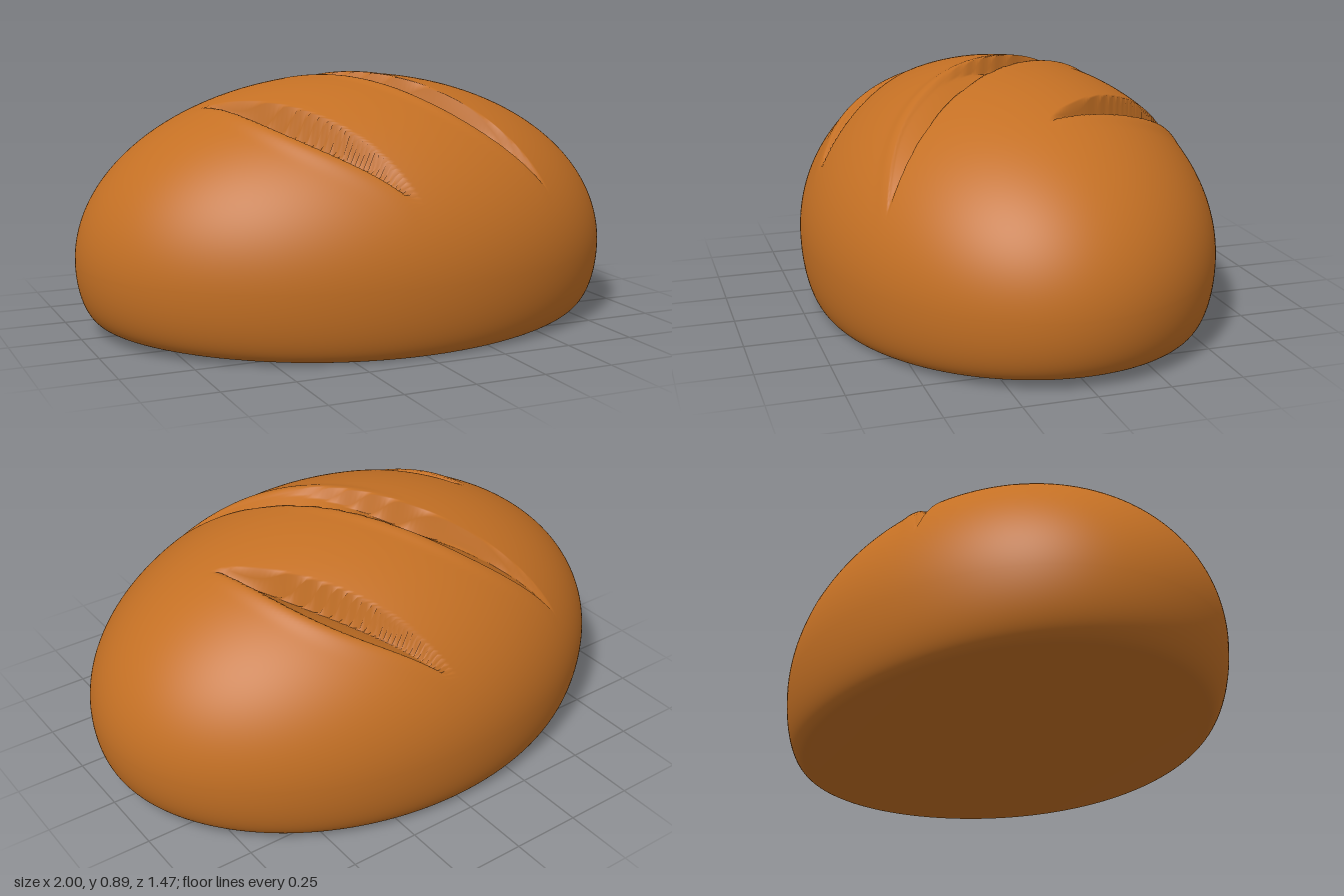
import * as THREE from 'three';
import { mergeVertices } from 'three/addons/utils/BufferGeometryUtils.js';

const crust = new THREE.MeshStandardMaterial({ color: 0xc47024 });
crust.name = 'golden crust';

const smooth = THREE.MathUtils.smoothstep;
const DEPTH = 0.735; // half depth of the loaf (half width is 1)

// Depth of one scored cut at (x, z). lo/hi give its edges across the chord,
// deep(t) says which edge carries the steep wall (0 = lo, 1 = hi).
function cut(x, z, [ax, az, bx, bz], lo, hi, deep, depth) {
  const length = Math.hypot(bx - ax, bz - az);
  const dx = (bx - ax) / length, dz = (bz - az) / length;
  const t = ((x - ax) * dx + (z - az) * dz) / length;
  if (t <= 0 || t >= 1) return 0;
  const w = (x - ax) * dz - (z - az) * dx;
  const l = lo(t), h = hi(t), k = deep(t);
  const taper = Math.pow(Math.sin(Math.PI * t), 0.7);
  // slightly puffed lip just outside the shallow edge
  const lip = 0.008 * taper * ((1 - k) * Math.exp(-(((w - h - 0.02) / 0.022) ** 2))
    + k * Math.exp(-(((w - l + 0.02) / 0.022) ** 2)));
  if (w <= l || w >= h) return -lip;
  const q = (w - l) / (h - l);
  const walls = smooth(w, l, l + 0.012) * (1 - smooth(w, h - 0.012, h));
  return depth * taper * walls * ((1 - k) * (1 - q) + k * q) - lip;
}

const bow = (t) => 0.12 * Math.sin(Math.PI * Math.pow(t, 2.2));
const sideCut = (x, z) => cut(x, z, [0.03, -0.68, 0.55, 0.02],
  () => 0, (t) => 0.125 * Math.sin(Math.PI * t), () => 0, 0.12);
const middleCut = (x, z) => cut(x, z, [-0.54, -0.56, 0.54, 0.56],
  (t) => -bow(t), (t) => bow(1 - t), (t) => smooth(t, 0.3, 0.7), 0.115);

function loafGeometry() {
  const geometry = new THREE.SphereGeometry(1, 400, 140);
  const pos = geometry.attributes.position, uv = geometry.attributes.uv;
  // The sphere's poles lie level, so its meridians run along the cuts
  const yaw = THREE.MathUtils.degToRad(58);
  const c = Math.cos(yaw), s = Math.sin(yaw);

  for (let i = 0; i < pos.count; i++) {
    // Three quarters of the meridians go to the scored upper half
    const u = uv.getX(i) - 0.5;
    const turn = Math.abs(u) < 0.375 ? u / 1.5 : Math.sign(u) * (0.25 + (Math.abs(u) - 0.375) * 2);
    const a = turn * 2 * Math.PI;
    const theta = (1 - uv.getY(i)) * Math.PI;
    const along = Math.cos(theta), side = Math.sin(theta) * Math.sin(a);
    const up = Math.sin(theta) * Math.cos(a);
    let x = along * c - side * s;
    let z = along * s + side * c;
    let y;

    if (up >= 0) {
      // Domed top with three cuts
      z *= DEPTH;
      y = 0.25 + 0.64 * up;
      y -= sideCut(x, z) + sideCut(-x, -z) + middleCut(x, z);
    } else {
      // Rounded lower edge turning into a slightly saddled base
      const e = Math.asin(Math.min(1, -up)) / (Math.PI / 2);
      const arc = Math.min(1, e / 0.4);
      const angle = arc * Math.PI / 2;
      const r = e < 0.4 ? 1 - 0.1 * (1 - Math.cos(angle)) : 0.9 * (1 - e) / 0.6;
      const d = Math.hypot(x, z) || 1;
      x *= r / d;
      z *= r / d * DEPTH;
      y = 0.25 - 0.22 * Math.sin(angle) - 0.03 * arc * (z / 0.66) ** 2;
    }
    pos.setXYZ(i, x, Math.max(0, y), z);
  }

  // Weld the seam so the shading is continuous
  geometry.deleteAttribute('uv');
  geometry.deleteAttribute('normal');
  const welded = mergeVertices(geometry, 1e-5);
  welded.computeVertexNormals();
  return welded;
}

export function createModel() {
  const model = new THREE.Group();
  model.name = 'breadLoaf';
  const loaf = new THREE.Mesh(loafGeometry(), crust);
  loaf.name = 'scoredLoaf';
  model.add(loaf);
  return model;
}
